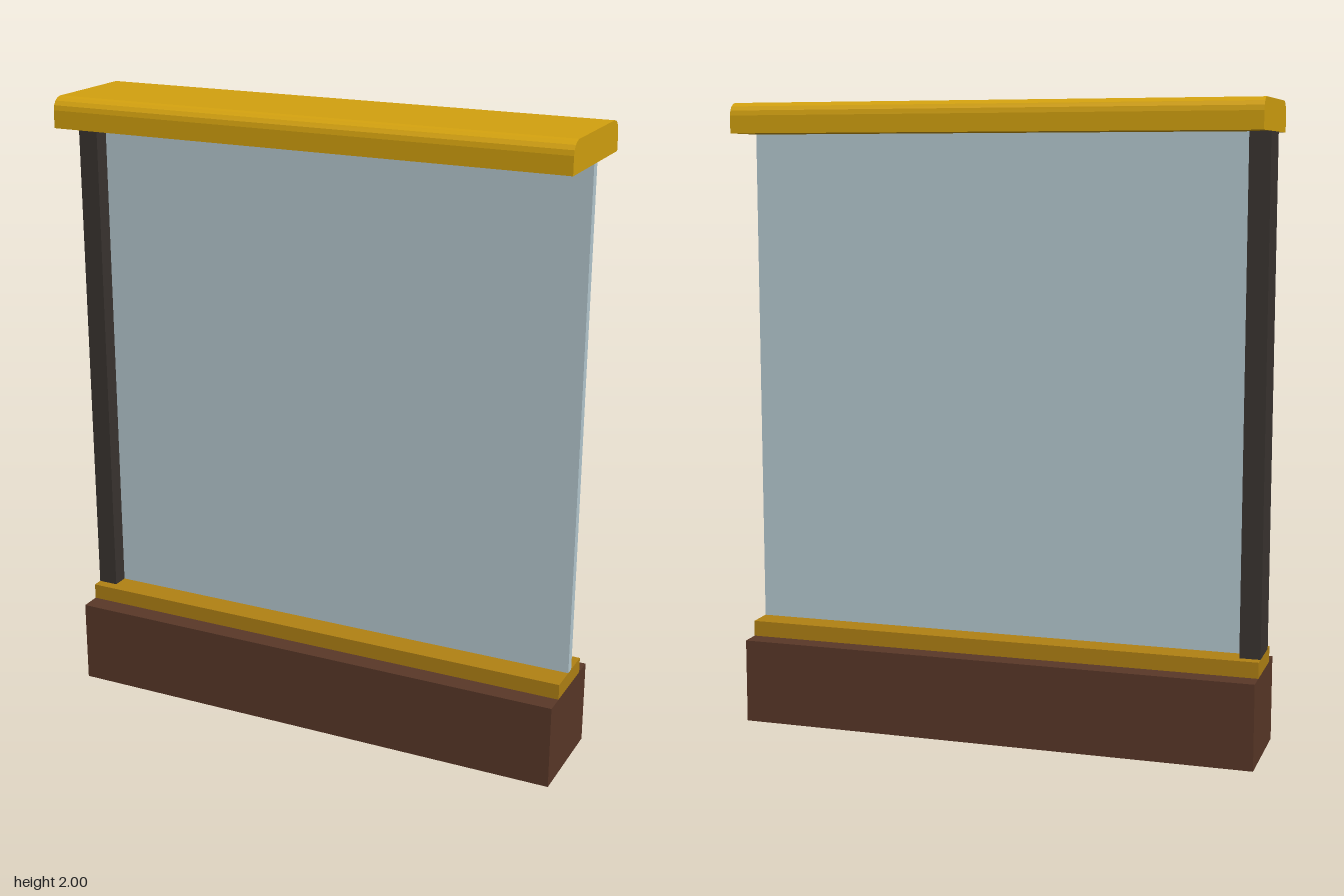
import * as THREE from 'three';

const WIDTH = 1.67;

const paint = (color) => new THREE.MeshStandardMaterial({ color, flatShading: true });

// Box placed by its x, y and z extents
function block(name, [x0, x1], [y0, y1], [z0, z1], material) {
  const mesh = new THREE.Mesh(new THREE.BoxGeometry(x1 - x0, y1 - y0, z1 - z0), material);
  mesh.position.set((x0 + x1) / 2, (y0 + y1) / 2, (z0 + z1) / 2);
  mesh.name = name;
  return mesh;
}

// Handrail: flat underside, rounded upper edges, swept along x
function handrail(material) {
  const half = 0.2, bottom = 1.905, top = 2, r = 0.04;
  const profile = new THREE.Shape();
  profile.moveTo(-half, bottom);
  profile.lineTo(half, bottom);
  profile.lineTo(half, top - r);
  profile.absarc(half - r, top - r, r, 0, Math.PI / 2, false);
  profile.lineTo(-half + r, top);
  profile.absarc(-half + r, top - r, r, Math.PI / 2, Math.PI, false);
  profile.closePath();
  const geometry = new THREE.ExtrudeGeometry(profile, { depth: WIDTH, bevelEnabled: false, curveSegments: 2 });
  geometry.translate(0, 0, -WIDTH / 2);
  geometry.rotateY(Math.PI / 2);
  const mesh = new THREE.Mesh(geometry, material);
  mesh.name = 'handrail';
  return mesh;
}

export function createModel() {
  const group = new THREE.Group();
  group.name = 'glassRailing';
  const h = WIDTH / 2;
  const postInner = -0.77;
  const full = [-h, h];
  const panelY = [0.32, 1.905];

  const wood = paint(0x5a3828);
  const gold = paint(0xd4a20f);
  const darkGold = paint(0xb28214);
  const metal = paint(0x3a3430);
  const glass = paint(0xb7cbd2);

  group.add(
    // Plinth and the sill on it
    block('base', full, [0, 0.27], [-0.165, 0.165], wood),
    block('bottomRail', full, [0.27, 0.32], [-0.1, 0.1], darkGold),
    // End post at one side, with the pane running from it to the open end
    block('post', [-h, postInner], panelY, [-0.067, 0.067], metal),
    block('glassPane', [postInner, h], panelY, [-0.014, 0.014], glass),
    handrail(gold),
  );
  return group;
}
